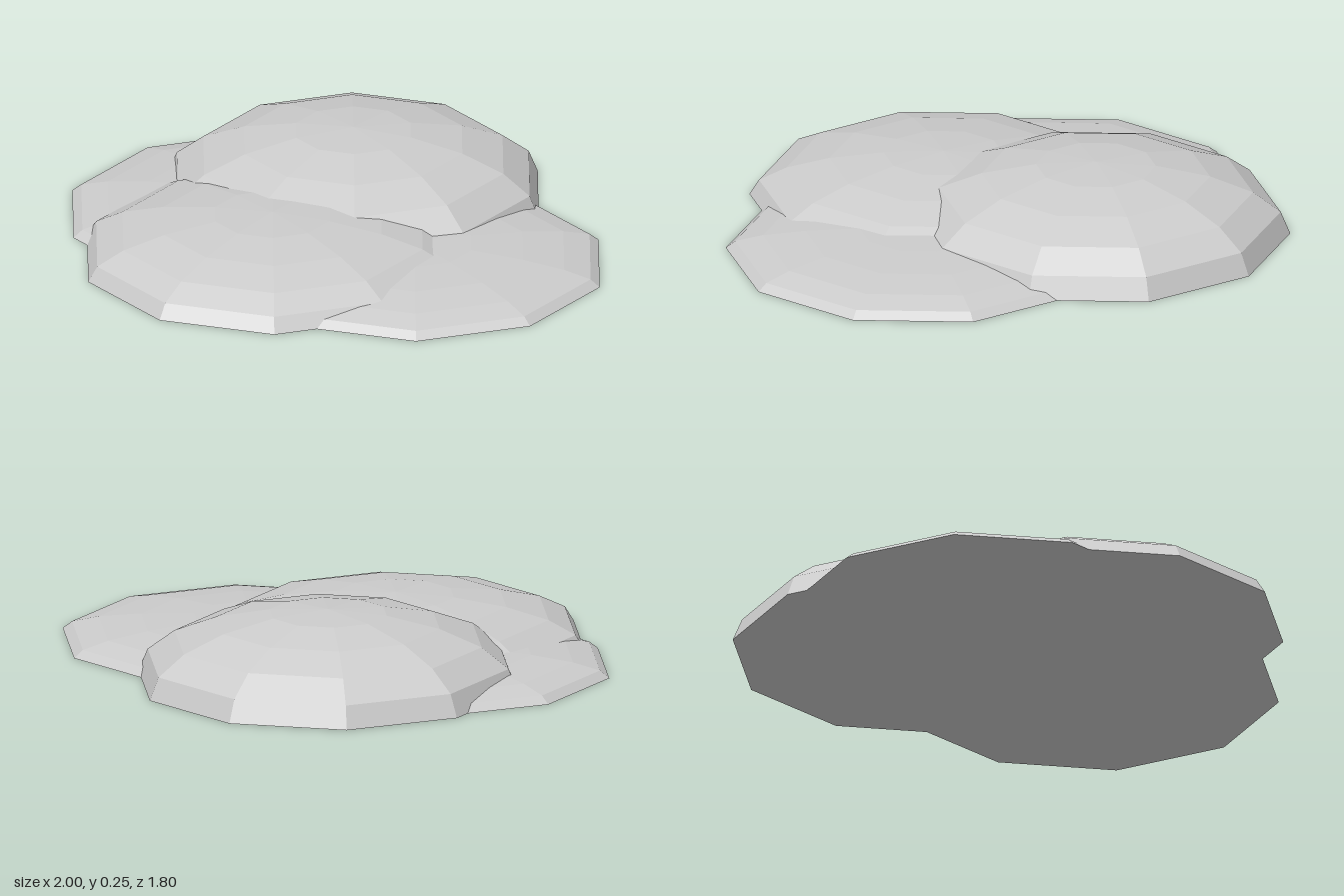
import * as THREE from 'three';

const SIDES = 10, RINGS = 5, RADIUS = 0.665;

// Flattened low-poly half dome with a closed, flat base
function dome(name, x, z, height, material) {
  const profile = [new THREE.Vector2(0, 0)];
  for (let i = 0; i <= RINGS; i++) {
    const a = (i / RINGS) * Math.PI / 2;
    profile.push(new THREE.Vector2(i === RINGS ? 0 : RADIUS * Math.cos(a), height * Math.sin(a)));
  }
  const mesh = new THREE.Mesh(new THREE.LatheGeometry(profile, SIDES, Math.PI / 2), material);
  mesh.name = name;
  mesh.position.set(x, 0, z);
  return mesh;
}

export function createModel() {
  const group = new THREE.Group();
  group.name = 'mound';
  const material = new THREE.MeshStandardMaterial({ color: 0xcccccc, flatShading: true });

  // Four overlapping domes, tallest at the back, shallow ones at the sides
  group.add(
    dome('backDome', -0.265, -0.27, 0.255, material),
    dome('frontDome', 0, 0.27, 0.17, material),
    dome('leftDome', 0.335, -0.085, 0.083, material),
    dome('rightDome', -0.335, 0.085, 0.083, material),
  );
  return group;
}
